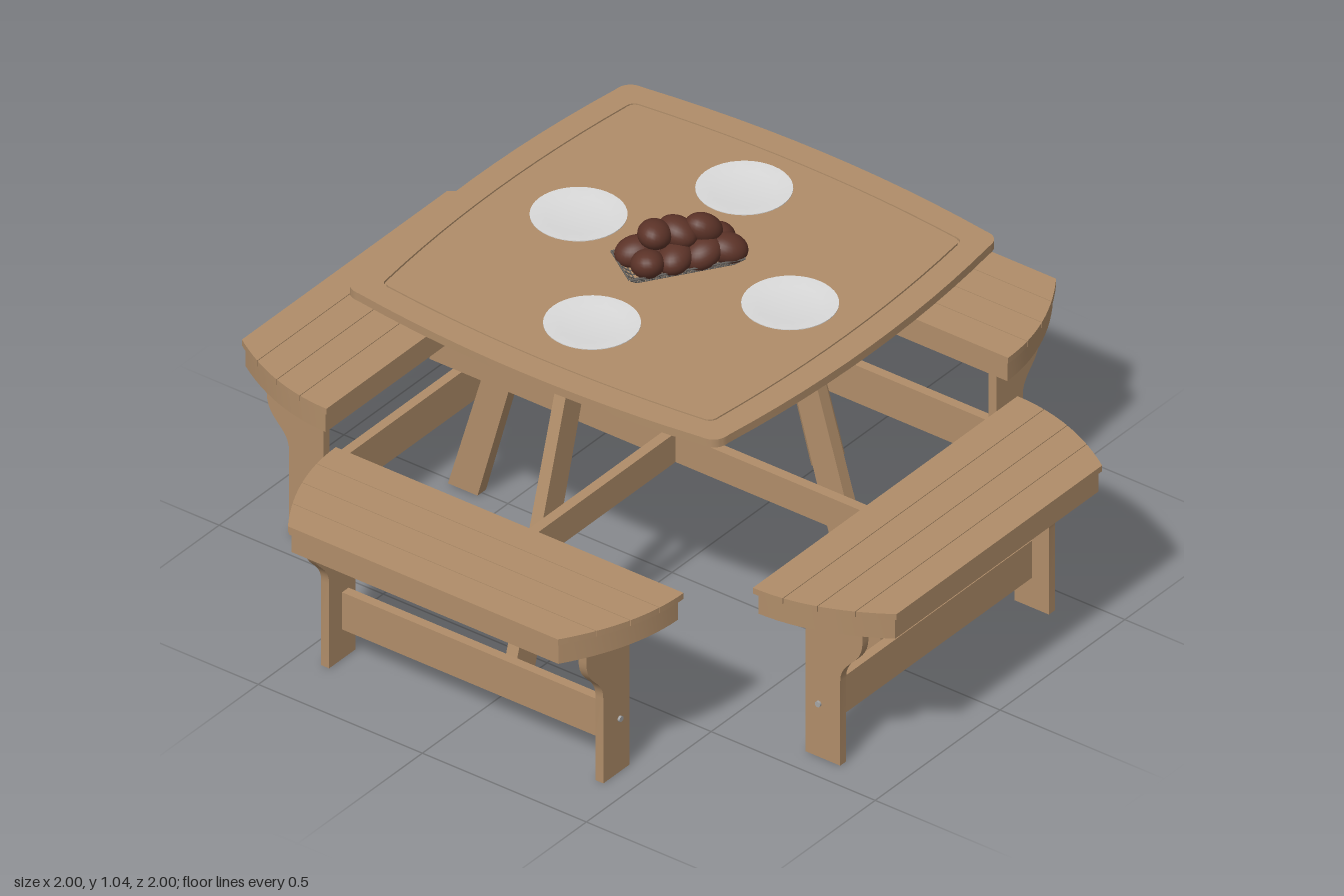
import * as THREE from 'three';
import { toCreasedNormals } from 'three/addons/utils/BufferGeometryUtils.js';

const material = (name, color) => Object.assign(new THREE.MeshStandardMaterial({ color }), { name });

export function createModel() {
  const wood = material('wood', 0xb08d69);
  const china = material('white china', 0xdadada);
  const bread = material('brown bread', 0x5c3328);
  const wire = material('wire', 0x66625e);
  const steel = material('steel', 0xa5a5a5);

  const model = new THREE.Group();
  model.name = 'picnicTable';

  function add(parent, name, geometry, mat, x = 0, y = 0, z = 0) {
    const mesh = new THREE.Mesh(geometry, mat);
    mesh.name = name;
    mesh.position.set(x, y, z);
    parent.add(mesh);
    return mesh;
  }
  const box = (parent, name, w, h, d, x, y, z) =>
    add(parent, name, new THREE.BoxGeometry(w, h, d), wood, x, y, z);
  const extrude = (shape, depth) => toCreasedNormals(
    new THREE.ExtrudeGeometry(shape, { depth, bevelEnabled: false, curveSegments: 12 }), 0.6);
  // Flat board: shape y becomes z, top face at the given height
  const board = (parent, name, shape, top, thick) =>
    add(parent, name, extrude(shape, thick).rotateX(Math.PI / 2), wood, 0, top, 0);
  // Upright board: shape x becomes z, centred on the given x
  const upright = (parent, name, shape, thick, x) =>
    add(parent, name, extrude(shape, thick).rotateY(-Math.PI / 2), wood, x + thick / 2, 0, 0);
  const polygon = (pts) => new THREE.Shape(pts.map(([x, y]) => new THREE.Vector2(x, y)));

  // Square with bulging sides and rounded corners
  function bulgedSquare(c, bulge, r) {
    const s = new THREE.Shape();
    const m = c + 2 * bulge, e = c - r;
    s.moveTo(-e, -c);
    s.quadraticCurveTo(0, -m, e, -c);
    s.quadraticCurveTo(c, -c, c, -e);
    s.quadraticCurveTo(m, 0, c, e);
    s.quadraticCurveTo(c, c, e, c);
    s.quadraticCurveTo(0, m, -e, c);
    s.quadraticCurveTo(-c, c, -c, e);
    s.quadraticCurveTo(-m, 0, -c, -e);
    s.quadraticCurveTo(-c, -c, -e, -c);
    return s;
  }

  // Table top with a fine groove around the middle panel
  board(model, 'tableSlab', bulgedSquare(0.57, 0.037, 0.05), 0.895, 0.016);
  const rim = bulgedSquare(0.57, 0.037, 0.05);
  rim.holes.push(bulgedSquare(0.506, 0.028, 0.03));
  board(model, 'tableRim', rim, 0.902, 0.007);
  board(model, 'tablePanel', bulgedSquare(0.502, 0.028, 0.03), 0.902, 0.007);

  // Crossed beams joining the benches
  box(model, 'crossBeamX', 1.41, 0.085, 0.028, 0, 0.405, 0.031);
  box(model, 'crossBeamZ', 0.028, 0.085, 1.41, -0.031, 0.405, 0);

  // Bench outline between two distances from the table centre
  const halfLength = (d) => 0.53 - 0.12 * ((d - 0.65) / 0.35) ** 2;
  function benchOutline(d0, d1, inset = 0) {
    const pts = [];
    for (let i = 0; i <= 12; i++) {
      const d = d0 + (d1 - d0) * i / 12;
      pts.push([halfLength(d) - inset, d]);
    }
    return polygon([...pts, ...pts.map(([x, d]) => [-x, d]).reverse()]);
  }

  function bolt(parent, x, y, z) {
    const b = add(parent, 'bolt', new THREE.CylinderGeometry(0.008, 0.008, 0.008, 12), steel, x, y, z);
    b.rotation.z = Math.PI / 2;
  }

  // One side: sloping table leg, cleats and bench
  function buildSide() {
    const side = new THREE.Group();
    upright(side, 'tableLeg', polygon([[0.58, 0], [0.67, 0], [0.41, 0.88], [0.335, 0.88]]), 0.034, 0);
    for (const s of [-1, 1]) {
      box(side, 'legCleat', 0.034, 0.042, 0.05, s * 0.034, 0.859, 0.385);
      bolt(side, s * 0.052, 0.859, 0.385);
    }

    const bench = new THREE.Group();
    bench.name = 'bench';
    side.add(bench);
    for (let i = 0; i < 4; i++) {
      const d = 0.65 + i * 0.0875;
      board(bench, 'seatPlank', benchOutline(d, d + 0.0855), 0.494, 0.017);
    }
    const apron = benchOutline(0.66, 0.99, 0.01);
    apron.holes.push(benchOutline(0.685, 0.965, 0.035));
    board(bench, 'seatApron', apron, 0.477, 0.06);

    // Legs flare outward under the seat
    const leg = new THREE.Shape();
    leg.moveTo(0.735, 0);
    leg.lineTo(0.84, 0);
    leg.lineTo(0.84, 0.245);
    leg.bezierCurveTo(0.84, 0.31, 0.908, 0.31, 0.908, 0.385);
    leg.lineTo(0.908, 0.477);
    leg.lineTo(0.735, 0.477);
    for (const s of [-1, 1]) {
      upright(bench, 'benchLeg', leg, 0.024, s * 0.418);
      bolt(bench, s * 0.432, 0.155, 0.775);
    }
    box(bench, 'benchRail', 0.812, 0.108, 0.026, 0, 0.14, 0.775);
    return side;
  }
  ['front', 'left', 'back', 'right'].forEach((name, i) => {
    const side = buildSide();
    side.name = name + 'Side';
    side.rotation.y = i * Math.PI / 2;
    model.add(side);
  });

  // Plates
  const profile = [[0, 0], [0.075, 0], [0.119, 0.008], [0.119, 0.01], [0.113, 0.01], [0.08, 0.005], [0, 0.004]]
    .map(([x, y]) => new THREE.Vector2(x, y));
  const plate = toCreasedNormals(new THREE.LatheGeometry(profile, 40), 0.5);
  for (const [x, z] of [[0.02, -0.3], [-0.34, 0.015], [0.355, -0.05], [0.02, 0.345]])
    add(model, 'plate', plate, china, x, 0.902, z);

  // Wire basket
  const basket = new THREE.Group();
  basket.name = 'breadBasket';
  basket.position.set(0.005, 0.902, 0.015);
  basket.rotation.y = -0.59;
  model.add(basket);
  const rod = (a, b, r = 0.0015) => add(basket, 'basketWire', new THREE.TubeGeometry(
    new THREE.LineCurve3(new THREE.Vector3(...a), new THREE.Vector3(...b)), 1, r, 6), wire);
  for (const [u, v, y, r] of [[0.125, 0.055, 0.005, 0.0015], [0.137, 0.062, 0.014, 0.0015], [0.148, 0.069, 0.024, 0.0025]])
    for (const s of [-1, 1]) {
      rod([-u, y, s * v], [u, y, s * v], r);
      rod([s * u, y, -v], [s * u, y, v], r);
    }
  for (let i = -6; i <= 6; i++) {
    const u = i / 6;
    rod([u * 0.125, 0.005, -0.055], [u * 0.125, 0.005, 0.055]);
    for (const s of [-1, 1]) rod([u * 0.125, 0.005, s * 0.055], [u * 0.148, 0.024, s * 0.069]);
  }
  for (let i = -3; i <= 3; i++) {
    const v = i / 3;
    rod([-0.125, 0.005, v * 0.055], [0.125, 0.005, v * 0.055]);
    for (const s of [-1, 1]) rod([s * 0.125, 0.005, v * 0.055], [s * 0.148, 0.024, v * 0.069]);
  }

  // Heap of bread rolls: position and tilt
  const roll = new THREE.SphereGeometry(1, 24, 16);
  const rolls = [
    [-0.1, 0.04, -0.028, 0.2], [-0.09, 0.04, 0.035, -0.3], [-0.03, 0.04, -0.035, 0.3],
    [-0.02, 0.042, 0.035, -0.2], [0.045, 0.04, -0.035, 0.1], [0.05, 0.042, 0.035, 0.3],
    [0.11, 0.04, -0.025, -0.3], [0.115, 0.04, 0.03, 0.2],
    [-0.06, 0.098, 0.0, 0.6], [0.0, 0.09, -0.005, -0.4], [0.065, 0.09, 0.0, -0.5],
  ];
  rolls.forEach(([x, y, z, tilt], i) => {
    const m = add(basket, 'breadRoll', roll, bread, x, y, z);
    m.scale.set(0.053, 0.037, 0.043);
    m.rotation.set(tilt * 0.6, i * 1.3, tilt);
  });

  return model;
}
